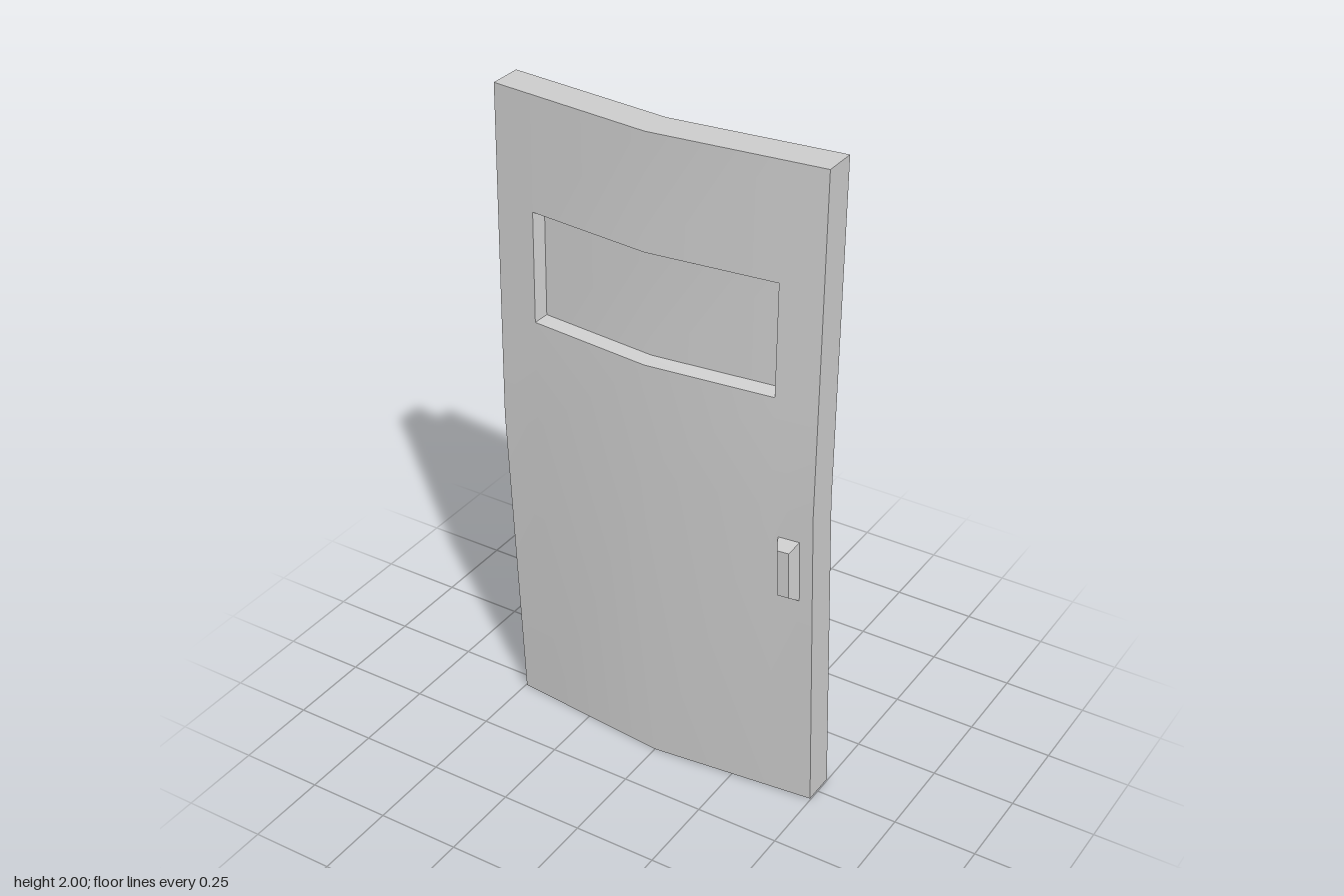
import * as THREE from 'three';
import { mergeGeometries, toCreasedNormals } from 'three/addons/utils/BufferGeometryUtils.js';

// Front surface of the door: folded gently along x = 0 and y = 1.
const faceZ = (x, y) => 0.14 - (y > 1 ? 0.017 * (y - 1) : 0.05 * (1 - y)) - 0.1 * Math.abs(x);
const point = (x, y, offset) => [x, y, faceZ(x, y) + offset];

// Values from a to b, with the fold added when it lies between them.
const span = (a, b, fold) => (a < fold && fold < b ? [a, fold, b] : [a, b]);

function fromQuads(quads) {
  const positions = quads.flatMap(([a, b, c, d]) => [a, b, c, a, c, d]).flat();
  const geometry = new THREE.BufferGeometry();
  geometry.setAttribute('position', new THREE.Float32BufferAttribute(positions, 3));
  return geometry;
}

// Sheet following the folds, with an optional rule for cells left open.
function sheet(xs, ys, offset, { back = false, open = () => false } = {}) {
  const quads = [];
  for (let i = 0; i < xs.length - 1; i++) {
    for (let j = 0; j < ys.length - 1; j++) {
      if (open((xs[i] + xs[i + 1]) / 2, (ys[j] + ys[j + 1]) / 2)) continue;
      const quad = [
        point(xs[i], ys[j], offset), point(xs[i + 1], ys[j], offset),
        point(xs[i + 1], ys[j + 1], offset), point(xs[i], ys[j + 1], offset),
      ];
      quads.push(back ? quad.reverse() : quad);
    }
  }
  return fromQuads(quads);
}

const fill = ([x0, x1, y0, y1], offset, options) =>
  sheet(span(x0, x1, 0), span(y0, y1, 1), offset, options);

// Rectangular outline, counter-clockwise from the front.
function loop([x0, x1, y0, y1], offset) {
  const xs = span(x0, x1, 0), ys = span(y0, y1, 1);
  return [
    ...xs.slice(0, -1).map((x) => point(x, y0, offset)),
    ...ys.slice(0, -1).map((y) => point(x1, y, offset)),
    ...xs.slice(1).reverse().map((x) => point(x, y1, offset)),
    ...ys.slice(1).reverse().map((y) => point(x0, y, offset)),
  ];
}

// Band of quads joining two outlines.
function wall(a, b) {
  return fromQuads(a.map((p, i) => {
    const j = (i + 1) % a.length;
    return [p, b[i], b[j], a[j]];
  }));
}

export function createModel() {
  const group = new THREE.Group();
  const material = new THREE.MeshStandardMaterial({ color: 0xcccccc });
  const add = (name, parts) => {
    const mesh = new THREE.Mesh(toCreasedNormals(mergeGeometries(parts), 0.23), material);
    mesh.name = name;
    group.add(mesh);
  };

  // Rectangles as [left, right, bottom, top]
  const slab = [-0.497, 0.497, 0, 2];
  const plug = [-0.43, 0.43, 0.08, 1.93];
  const windowRim = [-0.375, 0.375, 1.335, 1.665];
  const windowFloor = [-0.36, 0.36, 1.348, 1.645];
  const handleBase = [0.395, 0.46, 0.71, 0.91];
  const handleFront = [0.411, 0.444, 0.735, 0.885];

  // Outer slab: front with window opening, edges, and the sloped rear border
  const inWindow = (x, y) => Math.abs(x) < 0.375 && y > 1.335 && y < 1.665;
  add('doorPanel', [
    sheet([-0.497, -0.375, 0, 0.375, 0.497], [0, 1, 1.335, 1.665, 2], 0, { open: inWindow }),
    wall(loop(slab, 0), loop(slab, -0.1)),
    wall(loop(slab, -0.1), loop(plug, -0.125)),
  ]);

  // Raised inner panel on the back
  add('rearPanel', [
    wall(loop(plug, -0.125), loop(plug, -0.19)),
    fill(plug, -0.19, { back: true }),
  ]);

  // Shallow recess for the window
  add('windowRecess', [
    wall(loop(windowFloor, -0.035), loop(windowRim, 0)),
    fill(windowFloor, -0.035),
  ]);

  // Tapered pull handle
  add('handle', [
    wall(loop(handleFront, 0.031), loop(handleBase, -0.002)),
    fill(handleFront, 0.031),
  ]);

  return group;
}
